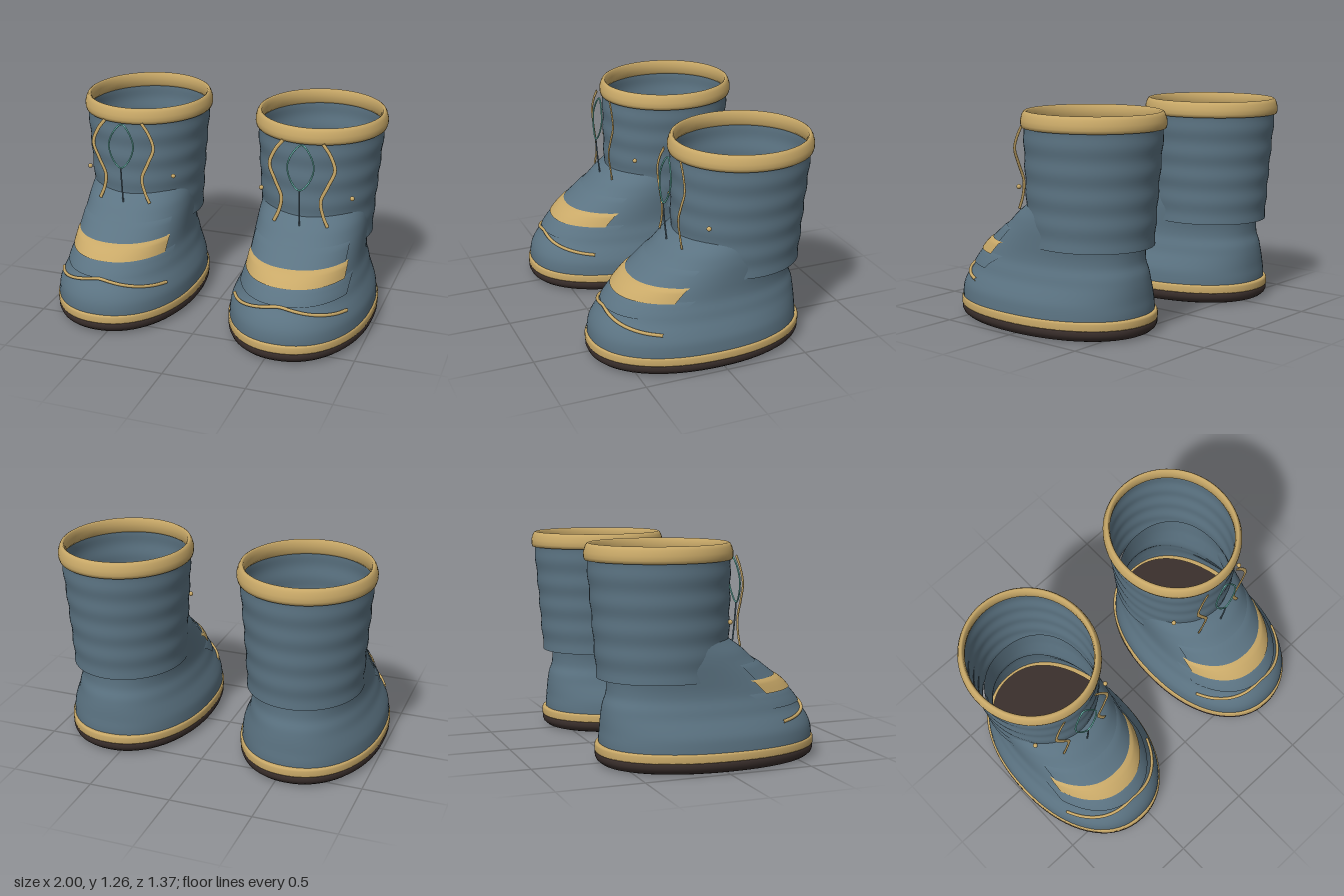
import * as THREE from 'three';

const SEG = 72;
const mat = (color) => new THREE.MeshStandardMaterial({ color, side: THREE.DoubleSide });
const blue = mat(0x5b7382), gold = mat(0xc9a968), brown = mat(0x3a2f2c), teal = mat(0x70c4b8);

// Point on an oval ring [y, halfWidth, frontZ, backZ], n = squareness
function ringPoint([y, hw, zf, zb], a, n) {
  const p = (v) => Math.sign(v) * Math.abs(v) ** (2 / n);
  return [hw * p(Math.sin(a)), y, (zf + zb) / 2 + ((zf - zb) / 2) * p(Math.cos(a))];
}

// Skin through a stack of rings
function loft(rings, n) {
  const pos = [], idx = [];
  rings.forEach((r) => {
    for (let j = 0; j < SEG; j++) pos.push(...ringPoint(r, (j / SEG) * Math.PI * 2, n));
  });
  for (let i = 0; i < rings.length - 1; i++) {
    for (let j = 0; j < SEG; j++) {
      const a = i * SEG + j, b = i * SEG + ((j + 1) % SEG);
      idx.push(a, b, b + SEG, a, b + SEG, a + SEG);
    }
  }
  return surface(pos, idx);
}

function surface(pos, idx) {
  const g = new THREE.BufferGeometry();
  g.setAttribute('position', new THREE.Float32BufferAttribute(pos, 3));
  g.setIndex(idx);
  g.computeVertexNormals();
  return g;
}

// Smooth ring lookup for rows [halfWidth, frontZ, backZ] evenly spaced in height
function profile(rows, y0, y1) {
  const curve = new THREE.CatmullRomCurve3(rows.map((r) => new THREE.Vector3(...r)), false, 'catmullrom', 0.5);
  return (y) => [y, ...curve.getPoint(THREE.MathUtils.clamp((y - y0) / (y1 - y0), 0, 1)).toArray()];
}
const stack = (ringAt, y0, y1, count) =>
  Array.from({ length: count + 1 }, (_, i) => ringAt(y0 + ((y1 - y0) * i) / count));
const inset = ([, hw, zf, zb], y, d) => [y, hw + d, zf + d, zb - d];

// Foot: heights 0.10 to 0.70 in steps of 0.05
const FOOT_N = 2.2;
const footRing = profile([
  [0.425, 0.672, -0.605], [0.422, 0.672, -0.605], [0.415, 0.662, -0.6], [0.395, 0.637, -0.597],
  [0.372, 0.598, -0.592], [0.358, 0.565, -0.583], [0.342, 0.522, -0.565], [0.336, 0.475, -0.56],
  [0.335, 0.41, -0.56], [0.335, 0.345, -0.56], [0.335, 0.28, -0.56], [0.332, 0.225, -0.56],
  [0.327, 0.155, -0.56],
], 0.1, 0.7);

// Shaft: heights 0.50 to 1.22 in even steps
const shaftRing = profile([
  [0.342, 0.148, -0.618], [0.349, 0.148, -0.632], [0.361, 0.149, -0.645],
  [0.374, 0.15, -0.66], [0.386, 0.15, -0.672],
], 0.5, 1.22);
const wrinkled = (y) => inset(shaftRing(y), y, 0.003 * Math.sin(y * 42));

// Front surface depth of the foot at x, y
function footZ(x, y) {
  const [, hw, zf, zb] = footRing(y);
  const k = Math.min(1, Math.abs(x) / hw);
  return (zf + zb) / 2 + ((zf - zb) / 2) * (1 - k ** FOOT_N) ** (1 / FOOT_N);
}

// Strip wrapped over the instep, tucked in along its upper and lower edges
function strip(w, y0, y1, lift) {
  const nx = 40, ny = 6, pos = [], idx = [];
  for (let i = 0; i <= ny; i++) {
    for (let j = 0; j <= nx; j++) {
      const x = w * Math.sin(((j / nx) * 2 - 1) * Math.PI / 2);
      const y = y0 + ((y1 - y0) * i) / ny;
      const edge = i === ny ? 0.003 : lift;
      pos.push(x * (1 + edge), y, footZ(x, y) + edge);
      if (i < ny && j < nx) {
        const a = i * (nx + 1) + j, c = a + nx + 2;
        idx.push(a, a + 1, c, a, c, c - 1);
      }
    }
  }
  return surface(pos, idx);
}

function tube(points, radius, closed = false) {
  const curve = new THREE.CatmullRomCurve3(points.map((p) => new THREE.Vector3(...p)), closed);
  return new THREE.TubeGeometry(curve, 64, radius, 8, closed);
}

function createBoot() {
  const boot = new THREE.Group();
  const add = (name, geometry, material) => {
    const m = new THREE.Mesh(geometry, material);
    m.name = name;
    boot.add(m);
    return m;
  };

  // Sole with rounded lower edge, closed top and bottom
  const rim = [0, 0.435, 0.687, -0.63];
  const core = (y) => [y, 0, 0.03, 0.03];
  add('sole', loft([
    core(0), inset(rim, 0, -0.06), inset(rim, 0, -0.055), inset(rim, 0.008, -0.03),
    inset(rim, 0.025, -0.01), inset(rim, 0.045, -0.002), inset(rim, 0.07, -0.002),
    inset(rim, 0.085, -0.02), inset(rim, 0.085, -0.025), core(0.085),
  ], 2.15), brown);
  add('welt', loft([
    inset(rim, 0.068, -0.03), inset(rim, 0.07, -0.003), inset(rim, 0.076, 0),
    inset(rim, 0.108, 0), inset(rim, 0.118, -0.005), inset(rim, 0.121, -0.012), inset(rim, 0.121, -0.04),
  ], 2.15), gold);

  // Upper
  add('foot', loft(stack(footRing, 0.09, 0.7, 36).concat([[0.72, 0.325, 0.13, -0.56]]), FOOT_N), blue);
  add('shaft', loft(stack(wrinkled, 0.5, 1.22, 40), 2), blue);
  const top = shaftRing(1.21);
  add('cuff', loft([
    [-0.01, 1.165], [0.01, 1.166], [0.015, 1.185], [0.015, 1.21], [0.006, 1.24], [-0.003, 1.255],
    [-0.012, 1.26], [-0.022, 1.252], [-0.028, 1.22], [-0.024, 1.18], [-0.01, 1.165],
  ].map(([d, y]) => inset(top, y, d)), 2), gold);

  // Instep folds, strap and toe piping
  add('lowerFold', strip(0.325, 0.325, 0.415, 0.01), blue);
  add('upperFold', strip(0.29, 0.49, 0.58, 0.01), blue);
  add('strap', strip(0.3, 0.41, 0.49, 0.018), gold);
  const piping = [];
  for (let i = -10; i <= 10; i++) {
    const x = i * 0.0345, y = 0.328 - 0.226 * Math.hypot(x, 0.03);
    piping.push([x, y, footZ(x, y) + 0.008]);
  }
  add('toePiping', tube(piping, 0.01), gold);

  // Laces and side beads, mirrored
  for (const s of [-1, 1]) {
    const side = s > 0 ? 'left' : 'right';
    const lace = add(side + 'Lace', tube([
      [s * 0.12, 1.18, 0], [s * 0.165, 1.12, 0.01], [s * 0.197, 1.03, 0.02], [s * 0.16, 0.93, 0.03],
      [s * 0.12, 0.83, 0.03], [s * 0.135, 0.74, 0.02], [s * 0.165, 0.67, 0.02],
    ], 0.011), gold);
    lace.scale.z = 0.4;
    lace.position.z = 0.165;
    add(side + 'Bead', new THREE.SphereGeometry(0.014, 16, 12), gold).position.set(s * 0.28, 0.825, 0.06);
  }

  // Thin loop with hanging end
  add('loop', tube([
    [0, 1.17, 0.19], [0.045, 1.13, 0.197], [0.08, 1.04, 0.206], [0.05, 0.945, 0.215], [0, 0.9, 0.22],
    [-0.05, 0.945, 0.215], [-0.08, 1.04, 0.206], [-0.045, 1.13, 0.197],
  ], 0.005, true), teal);
  add('loopEnd', tube([[0, 0.9, 0.22], [0, 0.8, 0.212], [0, 0.67, 0.198]], 0.005), blue);
  return boot;
}

export function createModel() {
  const model = new THREE.Group();
  model.name = 'boots';
  for (const s of [-1, 1]) {
    const boot = createBoot();
    boot.name = s > 0 ? 'leftBoot' : 'rightBoot';
    boot.position.x = s * 0.565;
    model.add(boot);
  }
  return model;
}
